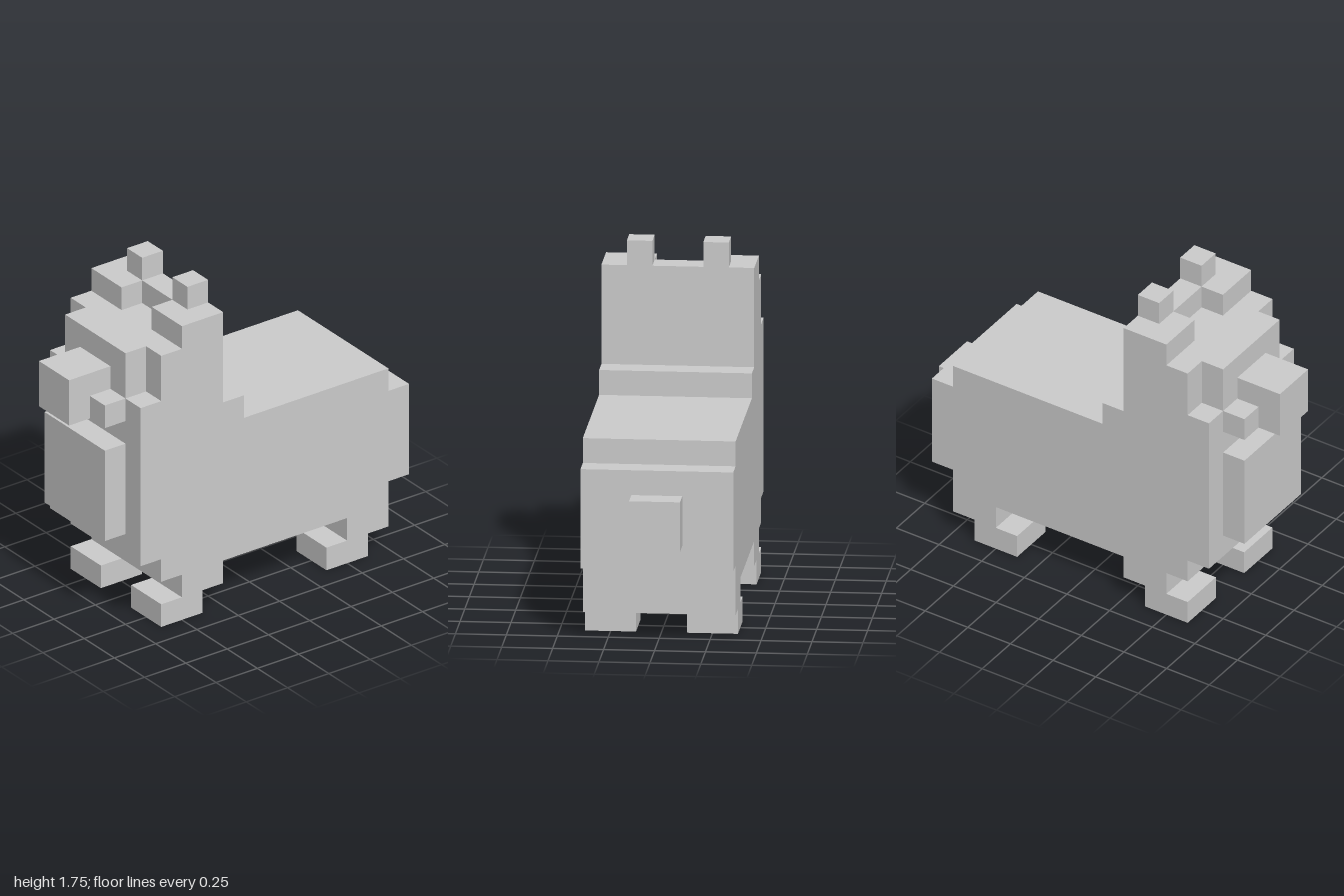
import * as THREE from 'three';

const U = 0.125; // edge of one voxel

export function createModel() {
  const model = new THREE.Group();
  model.name = 'voxelAnimal';
  const material = new THREE.MeshStandardMaterial({ color: 0xcccccc, flatShading: true });

  // Box given by its limits, in voxels
  function block(name, [x0, x1], [y0, y1], [z0, z1]) {
    const geometry = new THREE.BoxGeometry((x1 - x0) * U, (y1 - y0) * U, (z1 - z0) * U);
    const mesh = new THREE.Mesh(geometry, material);
    mesh.position.set((x0 + x1) * U / 2, (y0 + y1) * U / 2, (z0 + z1) * U / 2);
    mesh.name = name;
    model.add(mesh);
  }

  // Same block on both sides of the body
  function pair(name, x, y, [z0, z1]) {
    block(name + 'Near', x, y, [z0, z1]);
    block(name + 'Far', x, y, [-z1, -z0]);
  }

  // Stepped side outline of body, upper legs, neck and head, full width
  const outline = [
    [-4, 1], [-2, 1], [-2, 2], [4, 2], [4, 1], [6, 1], [6, 3], [7, 3], [7, 7], [6, 7],
    [6, 8], [-1, 8], [-1, 9], [-2, 9], [-2, 13], [-3, 13], [-3, 12], [-5, 12],
    [-5, 10], [-6, 10], [-6, 3], [-5, 3], [-5, 2], [-4, 2],
  ].map(([x, y]) => new THREE.Vector2(x * U, y * U));
  const bodyGeometry = new THREE.ExtrudeGeometry(new THREE.Shape(outline), {
    depth: 6 * U, bevelEnabled: false,
  });
  bodyGeometry.translate(0, 0, -3 * U);
  const body = new THREE.Mesh(bodyGeometry, material);
  body.name = 'bodyAndHead';
  model.add(body);

  // Face, narrower than the head
  block('brow', [-6, -5], [10, 12], [-2, 2]);
  block('snout', [-8, -6], [9, 11], [-1, 1]);
  pair('cheek', [-7, -6], [9, 10], [1, 2]);

  // Top of the head
  pair('crownTuft', [-4, -3], [12, 13], [1, 3]);
  pair('ear', [-3, -2], [13, 14], [1, 2]);

  // Chest and tail
  block('chest', [-7, -6], [4, 8], [-2, 2]);
  block('tail', [7, 8], [4, 6], [-1, 1]);

  // Feet
  pair('frontFoot', [-5, -3], [0, 1], [1, 3]);
  pair('rearFoot', [3, 5], [0, 1], [1, 3]);

  return model;
}
